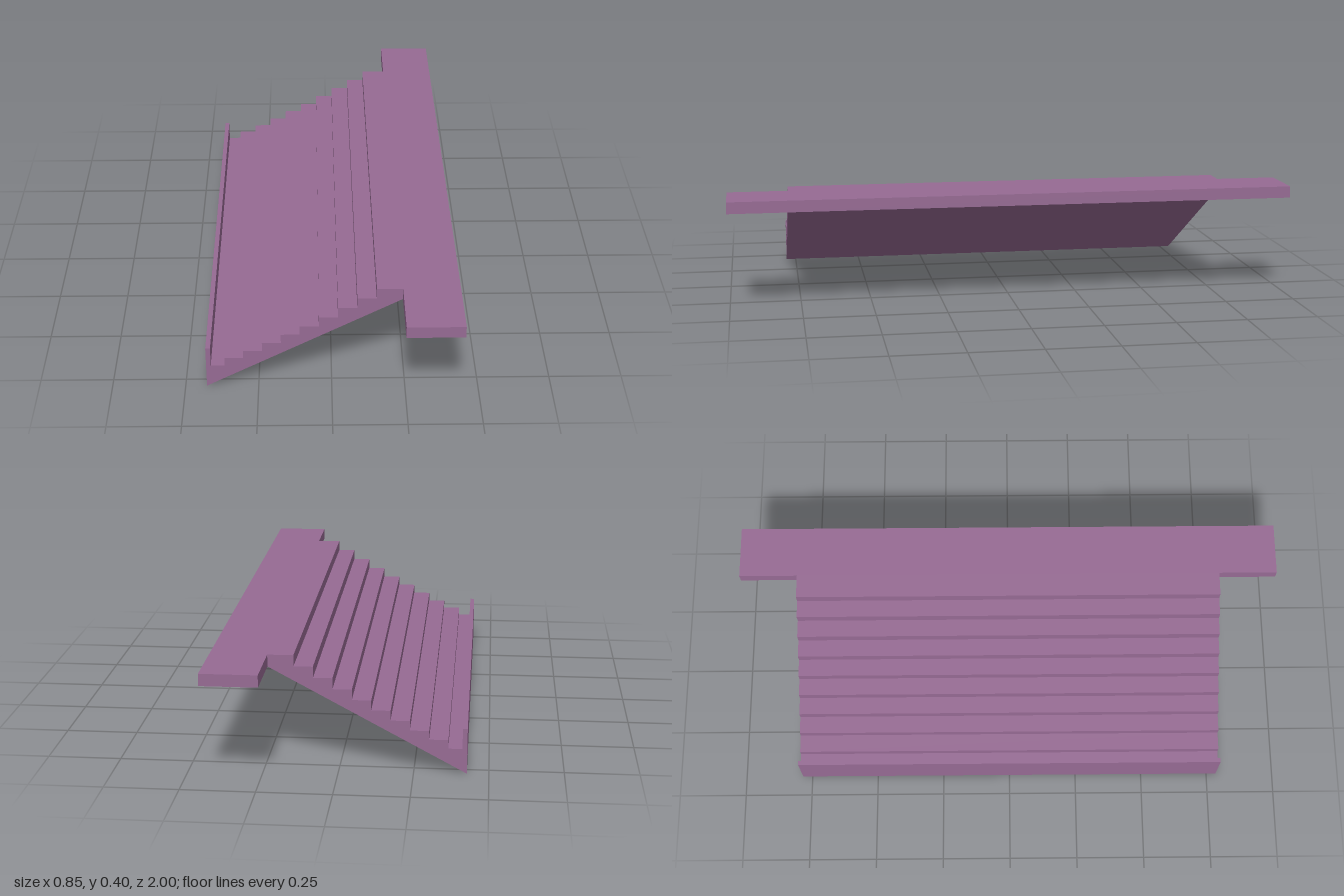
import * as THREE from 'three';

export function createModel() {
  const model = new THREE.Group();
  model.name = 'terracedStand';
  const plum = new THREE.MeshStandardMaterial({ color: 0x966a93 });
  plum.name = 'plum';

  const left = -0.427, railInner = -0.411, deckStart = 0.235, deckEnd = 0.426;
  const deckBottom = 0.357, deckTop = 0.398, halfWidth = 0.786;

  // Terrace: side profile with a sloping underside, a front rail and rising steps
  const levels = [0.087, 0.117, 0.147, 0.18, 0.214, 0.248, 0.284, 0.322, 0.36, deckTop];
  const firstRiser = -0.364, tread = 0.0641;
  const profile = new THREE.Shape();
  profile.moveTo(left, 0);
  profile.lineTo(deckStart, deckBottom);
  profile.lineTo(deckStart, deckTop);
  for (let i = levels.length - 1; i > 0; i--) {
    const x = firstRiser + (i - 1) * tread;
    profile.lineTo(x, levels[i]);
    profile.lineTo(x, levels[i - 1]);
  }
  profile.lineTo(railInner, levels[0]);
  profile.lineTo(railInner, 0.158);
  profile.lineTo(left, 0.158);
  profile.closePath();

  const terraceGeometry = new THREE.ExtrudeGeometry(profile, { depth: halfWidth * 2, bevelEnabled: false });
  terraceGeometry.translate(0, 0, -halfWidth);
  const terrace = new THREE.Mesh(terraceGeometry, plum);
  terrace.name = 'steppedTerrace';
  model.add(terrace);

  // Upper walkway, wider than the steps
  const deck = new THREE.Mesh(
    new THREE.BoxGeometry(deckEnd - deckStart, deckTop - deckBottom, 2), plum);
  deck.position.set((deckStart + deckEnd) / 2, (deckTop + deckBottom) / 2, 0);
  deck.name = 'upperWalkway';
  model.add(deck);

  return model;
}
